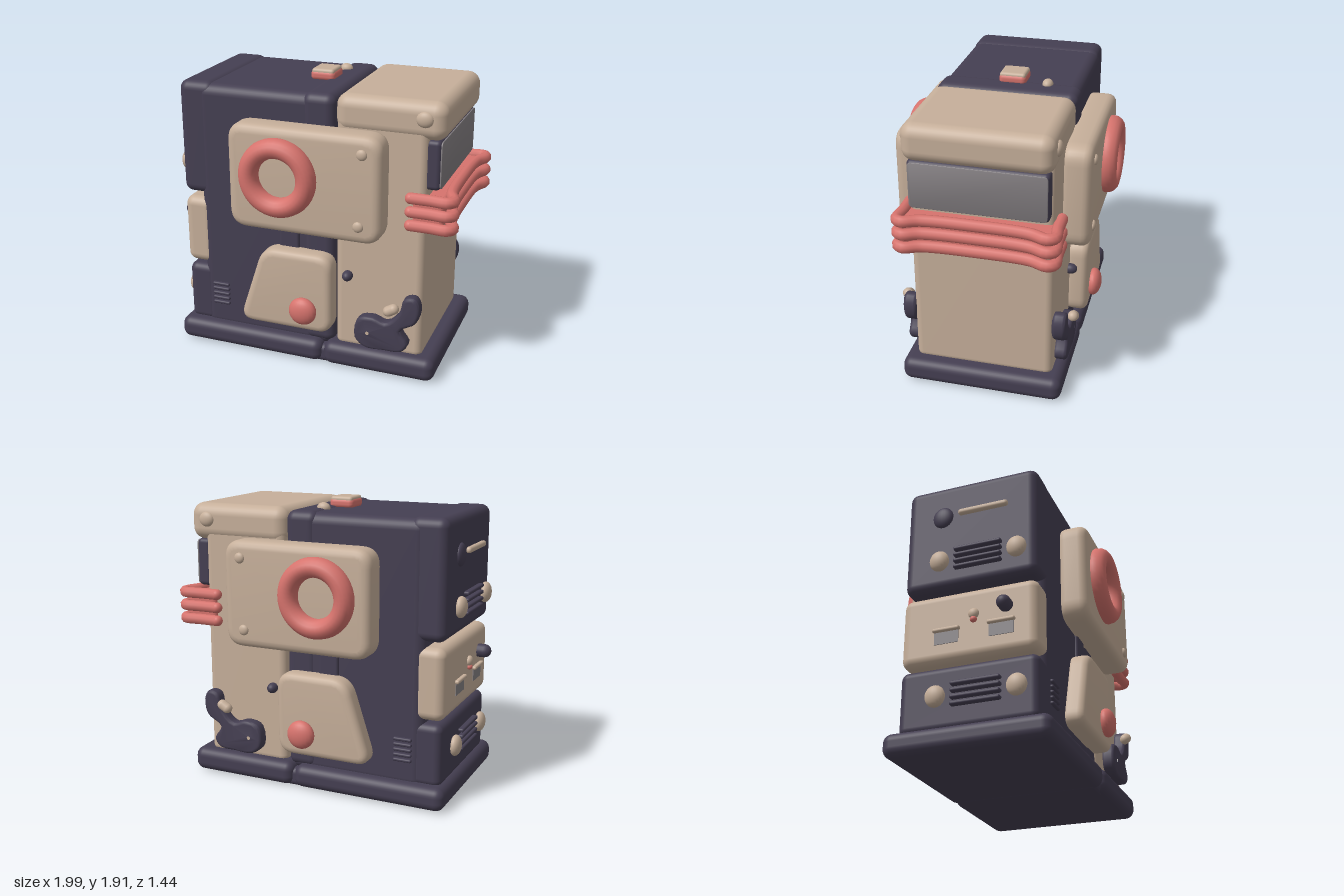
import * as THREE from 'three';
import { toCreasedNormals } from 'three/addons/utils/BufferGeometryUtils.js';
import { RoundedBoxGeometry } from 'three/addons/geometries/RoundedBoxGeometry.js';

const material = (name, color) => {
  const m = new THREE.MeshStandardMaterial({ color });
  m.name = name;
  return m;
};

export function createModel() {
  const model = new THREE.Group();
  model.name = 'roundedMachine';
  const dark = material('darkPlum', 0x453f52);
  const tan = material('tan', 0xc6af9a);
  const red = material('coralRed', 0xd6736d);
  const grey = material('glassGrey', 0x858083);

  const add = (name, geometry, mat, x = 0, y = 0, z = 0) => {
    const mesh = new THREE.Mesh(geometry, mat);
    mesh.name = name;
    mesh.position.set(x, y, z);
    model.add(mesh);
    return mesh;
  };

  // Rounded box given by its limits on each axis
  const block = (name, mat, [x0, x1], [y0, y1], [z0, z1], radius) =>
    add(name, new RoundedBoxGeometry(x1 - x0, y1 - y0, z1 - z0, 4, radius), mat,
      (x0 + x1) / 2, (y0 + y1) / 2, (z0 + z1) / 2);

  // Polygon with its corners rounded off
  const roundedShape = (points, r) => {
    const p = points.map(([x, y]) => new THREE.Vector2(x, y));
    const shape = new THREE.Shape();
    p.forEach((corner, i) => {
      const toward = (q) => q.clone().sub(corner).setLength(r).add(corner);
      const a = toward(p[(i + p.length - 1) % p.length]);
      const b = toward(p[(i + 1) % p.length]);
      if (i) shape.lineTo(a.x, a.y); else shape.moveTo(a.x, a.y);
      shape.quadraticCurveTo(corner.x, corner.y, b.x, b.y);
    });
    shape.closePath();
    return shape;
  };

  // Plate with soft edges, centred on z = 0
  const plate = (shape, depth, bevel) => {
    const g = new THREE.ExtrudeGeometry(shape, {
      depth: depth - 2 * bevel, bevelEnabled: true, bevelSize: bevel, bevelThickness: bevel,
      bevelOffset: -bevel, bevelSegments: 4, curveSegments: 8,
    });
    g.translate(0, 0, bevel - depth / 2);
    return toCreasedNormals(g, 0.8);
  };

  // Domed knob squashed along one axis
  const knob = (name, mat, x, y, z, rx, ry, rz) => {
    const mesh = add(name, new THREE.SphereGeometry(1, 20, 14), mat, x, y, z);
    mesh.scale.set(rx, ry, rz);
    return mesh;
  };

  // Base in two halves
  block('rearBase', dark, [-0.945, 0.11], [0.02, 0.175], [-0.535, 0.535], 0.06);
  block('frontBase', dark, [0.12, 0.885], [0.02, 0.18], [-0.535, 0.535], 0.06);
  block('baseJoint', dark, [0.02, 0.25], [0.015, 0.14], [-0.5, 0.5], 0.04);

  // Dark main body with its seams
  block('mainBody', dark, [-0.78, 0.17], [0.12, 1.86], [-0.455, 0.455], 0.07);
  block('bodyRib', dark, [-0.04, 0.18], [0.15, 1.87], [-0.465, 0.465], 0.06);
  block('upperRearPanel', dark, [-0.91, -0.66], [1.1, 1.87], [-0.45, 0.45], 0.06);
  block('lowerRearPanel', dark, [-0.9, -0.7], [0.15, 0.57], [-0.45, 0.45], 0.05);
  block('middleRearPanel', tan, [-0.91, -0.7], [0.59, 1.065], [-0.45, 0.45], 0.06);

  // Tan tower, its cap and window
  block('tower', tan, [0.19, 0.785], [0.15, 1.8], [-0.46, 0.46], 0.05);
  block('towerCap', tan, [0.18, 0.895], [1.64, 1.885], [-0.47, 0.47], 0.08);
  block('windowFrame', dark, [0.76, 0.86], [1.325, 1.645], [-0.44, 0.44], 0.03);
  const glass = plate(roundedShape([[-0.43, -0.15], [0.43, -0.15], [0.43, 0.15], [-0.43, 0.15]], 0.03), 0.009, 0.002);
  add('windowGlass', glass, grey, 0.86, 1.485, 0).rotation.y = Math.PI / 2;

  // Red bumper bands wrapped around the tower
  const bandPath = new THREE.CatmullRomCurve3([
    [0.69, 0.485], [0.82, 0.485], [0.93, 0.49], [0.955, 0.45], [0.915, 0.34], [0.9, 0],
    [0.915, -0.34], [0.955, -0.45], [0.93, -0.49], [0.82, -0.485], [0.69, -0.485],
  ].map(([x, z]) => new THREE.Vector3(x, 0, z)), false, 'centripetal');
  for (const y of [1.1, 1.19, 1.28]) {
    add('bumperBand', new THREE.TubeGeometry(bandPath, 72, 0.037, 10), red, 0, y, 0);
    for (const s of [-1, 1]) knob('bandEnd', red, 0.69, y, 0.485 * s, 0.035, 0.036, 0.036);
  }
  block('bumperCore', red, [0.7, 0.9], [1.1, 1.28], [-0.485, 0.485], 0.03);

  // Features shared by both sides
  const panelShape = roundedShape([[-0.485, 0.98], [0.545, 0.98], [0.545, 1.68], [-0.485, 1.68]], 0.12);
  const lowerShape = roundedShape([[-0.47, 0.27], [0.2, 0.27], [0.2, 0.825], [-0.29, 0.825]], 0.11);
  const leverShape = new THREE.Shape(new THREE.CatmullRomCurve3([
    [0.35, 0.27], [0.37, 0.41], [0.47, 0.435], [0.56, 0.41], [0.65, 0.5], [0.68, 0.6], [0.75, 0.615],
    [0.785, 0.55], [0.76, 0.44], [0.66, 0.37], [0.71, 0.28], [0.67, 0.22], [0.55, 0.21], [0.42, 0.21],
  ].map(([x, y]) => new THREE.Vector3(x, y, 0)), true).getPoints(48).slice(0, -1)
    .map((p) => new THREE.Vector2(p.x, p.y)));
  leverShape.holes.push(new THREE.Path().absarc(0.44, 0.32, 0.035, 0, Math.PI * 2, true));

  for (const s of [-1, 1]) {
    add('sidePanel', plate(panelShape, 0.2, 0.055), tan, 0, 0, 0.53 * s);
    const ring = add('sideRing', new THREE.TorusGeometry(0.195, 0.065, 16, 40), red, -0.13, 1.36, 0.645 * s);
    ring.scale.z = 1.15;
    knob('panelBolt', tan, 0.42, 1.57, 0.63 * s, 0.035, 0.035, 0.02);
    knob('panelBolt', tan, 0.4, 1.1, 0.63 * s, 0.035, 0.035, 0.02);

    add('lowerPanel', plate(lowerShape, 0.15, 0.045), tan, 0, 0, 0.5 * s);
    knob('redButton', red, 0.01, 0.43, 0.595 * s, 0.095, 0.095, 0.055);

    add('lever', plate(leverShape, 0.09, 0.022), dark, 0, 0, 0.495 * s);
    const grip = add('leverGrip', new THREE.CapsuleGeometry(0.035, 0.04, 6, 14), tan, 0.605, 0.53, 0.56 * s);
    grip.rotation.z = -Math.PI / 3;
    knob('towerKnob', dark, 0.28, 0.68, 0.475 * s, 0.035, 0.035, 0.045);
    knob('capBump', tan, 0.76, 1.78, 0.465 * s, 0.055, 0.05, 0.03);

    // Vent slats and the ribs between the side panels
    for (let i = 0; i < 5; i++) {
      block('sideVentSlat', dark, [-0.71, -0.585], [0.305 + i * 0.035, 0.327 + i * 0.035],
        [0.46 * s - 0.015, 0.46 * s + 0.015], 0.01);
    }
    block('sideRib', dark, [-0.2, -0.06], [0.75, 1.05], [0.455 * s - 0.02, 0.455 * s + 0.02], 0.018);
  }

  // Rear details: handle, bolts, louvres and gauges
  block('rearHandle', tan, [-0.94, -0.9], [1.61, 1.65], [-0.08, 0.26], 0.018);
  knob('handlePivot', dark, -0.91, 1.62, -0.19, 0.03, 0.075, 0.07);
  for (const [y, x] of [[1.29, -0.925], [0.37, -0.915]]) {
    for (const z of [-0.2, 0.32]) knob('rearBolt', tan, x, y, z, 0.04, 0.07, 0.065);
    for (let i = 0; i < 4; i++) {
      block('rearLouvre', dark, [x - 0.02, x + 0.04], [y - 0.075 + i * 0.043, y - 0.05 + i * 0.043], [-0.1, 0.22], 0.011);
    }
  }
  for (const z of [-0.14, 0.22]) {
    add('gaugePlate', new THREE.BoxGeometry(0.008, 0.08, 0.16), grey, -0.911, 0.75, z);
    block('gaugeHood', tan, [-0.935, -0.89], [0.79, 0.815], [z - 0.09, z + 0.09], 0.011);
  }
  knob('gaugeStud', tan, -0.915, 0.88, 0.04, 0.025, 0.035, 0.035);
  knob('gaugeLight', red, -0.918, 0.84, 0.04, 0.02, 0.02, 0.022);
  const switchKnob = add('rearSwitch', new THREE.CapsuleGeometry(0.045, 0.05, 6, 16), dark, -0.93, 0.9, 0.25);
  switchKnob.rotation.z = Math.PI / 2;

  // Roof button and stud
  const button = block('roofButton', red, [-0.13, 0.04], [1.85, 1.92], [-0.1, 0.08], 0.03);
  button.name = 'roofButtonBase';
  block('roofButtonTop', tan, [-0.122, 0.032], [1.89, 1.93], [-0.095, 0.075], 0.018);
  knob('roofStud', tan, 0.01, 1.87, -0.24, 0.045, 0.035, 0.035);

  return model;
}
